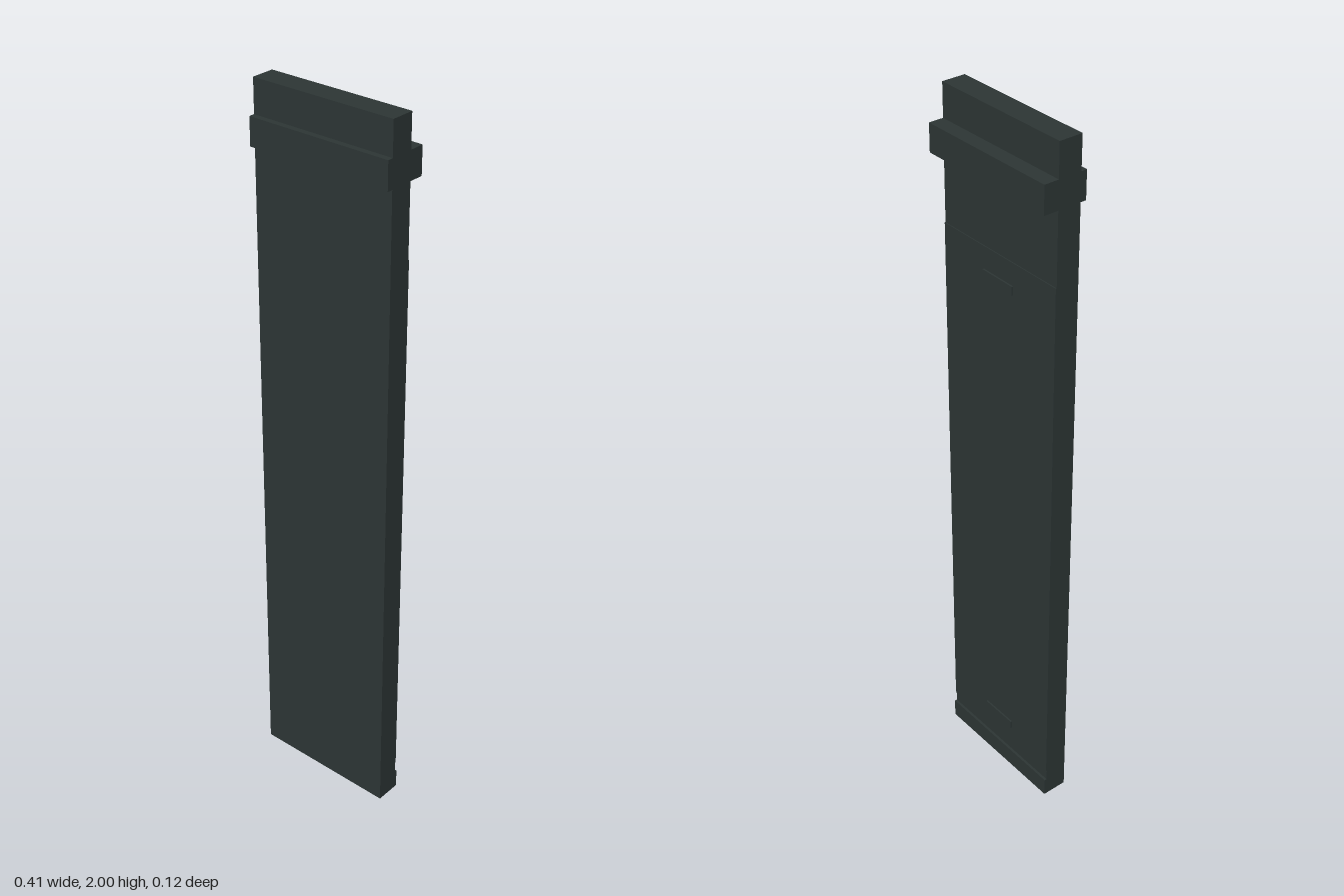
import * as THREE from 'three';

export function createModel() {
  const group = new THREE.Group();
  const charcoal = new THREE.MeshStandardMaterial({ color: 0x2d3635 });
  charcoal.name = 'charcoal';

  // Box given by its width and its y and z ranges, centred on x = 0
  function slab(name, width, y0, y1, z0, z1) {
    const mesh = new THREE.Mesh(new THREE.BoxGeometry(width, y1 - y0, z1 - z0), charcoal);
    mesh.name = name;
    mesh.position.set(0, (y0 + y1) / 2, (z0 + z1) / 2);
    group.add(mesh);
  }

  const width = 0.415;
  const front = 0.045;
  const back = -0.02;

  // Tall main board
  slab('panel', width, 0, 2, back, front);

  // Rails across the upper end, deeper on the back
  slab('frontRail', width, 1.835, 1.91, front, 0.061);
  slab('backRail', width, 1.835, 1.91, -0.061, back);

  // Slightly raised back plate and bottom lip
  slab('backPlate', width, 0.09, 1.64, -0.0225, back);
  slab('bottomLip', width, 0, 0.055, -0.027, back);

  // Small raised bars on the back plate
  for (const [name, y] of [['upperBar', 1.567], ['lowerBar', 0.155]]) {
    slab(name, 0.11, y - 0.012, y + 0.012, -0.027, back);
  }

  return group;
}
